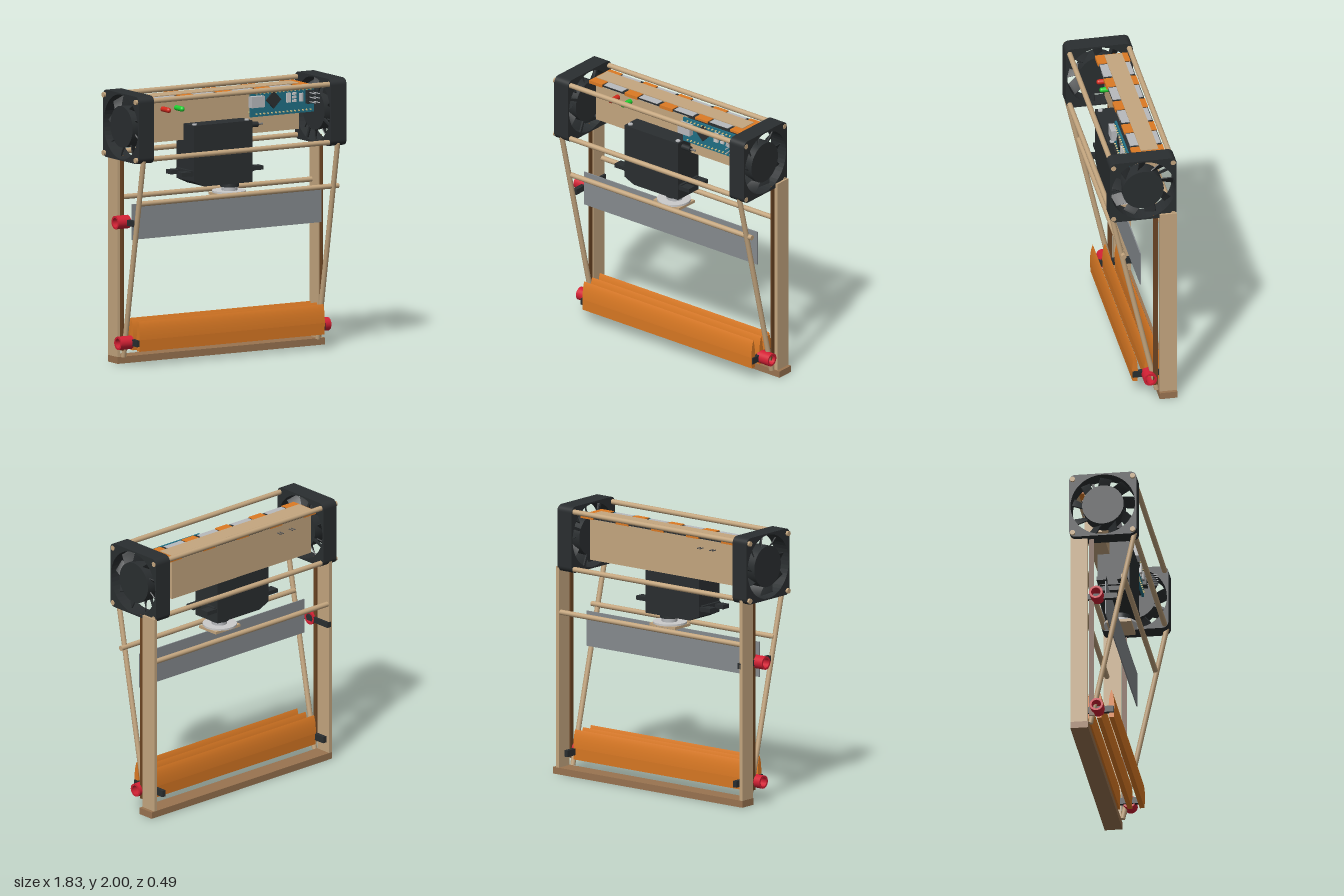
import * as THREE from 'three';

const mats = {};
const mat = (c) => (mats[c] ??= new THREE.MeshStandardMaterial({ color: c, side: THREE.DoubleSide }));
const WOOD = 0xc4a67f, BROWN = 0x997350, DARKWOOD = 0x6b4423, BLACK = 0x2a2e30, ORANGE = 0xdc7a24,
  RED = 0xd32034, STEEL = 0x868b8f, SILVER = 0xb8babd, TEAL = 0x1f6f85;

export function createModel() {
  const root = new THREE.Group();

  const add = (name, geo, color, parent = root) => {
    const m = new THREE.Mesh(geo, mat(color));
    m.name = name;
    parent.add(m);
    return m;
  };
  // Box given by its min and max on each axis
  const box = (name, color, x0, x1, y0, y1, z0, z1) => {
    const m = add(name, new THREE.BoxGeometry(x1 - x0, y1 - y0, z1 - z0), color);
    m.position.set((x0 + x1) / 2, (y0 + y1) / 2, (z0 + z1) / 2);
    return m;
  };
  // Round rod between two points
  const rod = (name, color, a, b, r, seg = 20) => {
    const p = new THREE.Vector3(...a), q = new THREE.Vector3(...b), d = q.clone().sub(p);
    const m = add(name, new THREE.CylinderGeometry(r, r, d.length(), seg), color);
    m.position.copy(p).add(q).multiplyScalar(0.5);
    m.quaternion.setFromUnitVectors(new THREE.Vector3(0, 1, 0), d.normalize());
    return m;
  };
  const extrude = (shape, depth, seg = 16) =>
    new THREE.ExtrudeGeometry(shape, { depth, bevelEnabled: false, curveSegments: seg });

  // Wooden frame
  box('base', BROWN, -0.855, 0.91, 0, 0.05, -0.245, -0.115);
  box('rightPost', WOOD, -0.855, -0.828, 0.05, 1.54, -0.245, -0.12);
  box('leftPost', WOOD, 0.858, 0.885, 0.05, 1.54, -0.245, -0.12);
  box('rightGuideStrip', DARKWOOD, -0.838, -0.828, 0.1, 1.53, -0.11, -0.075);
  box('leftGuideStrip', DARKWOOD, 0.858, 0.868, 0.1, 1.53, -0.11, -0.075);
  for (const z of [-0.222, 0.217])
    for (const y of [1.535, 1.96]) rod('frameRod', WOOD, [-0.915, y, z], [0.872, y, z], 0.019);
  for (const z of [-0.222, 0.14]) rod('crossRod', WOOD, [-0.84, 1.2, z], [0.862, 1.2, z], 0.019);
  rod('rightDiagonalRod', WOOD, [-0.845, 1.53, 0.222], [-0.812, 0.05, -0.105], 0.019);
  rod('leftDiagonalRod', WOOD, [0.808, 1.53, 0.222], [0.842, 0.05, -0.105], 0.019);

  // Fans at both ends
  const fan = (name, x, depth) => {
    const g = new THREE.Group();
    g.name = name;
    const h = 0.246, r = 0.045, s = new THREE.Shape();
    s.absarc(h - r, h - r, r, 0, Math.PI / 2);
    s.absarc(r - h, h - r, r, Math.PI / 2, Math.PI);
    s.absarc(r - h, r - h, r, Math.PI, Math.PI * 1.5);
    s.absarc(h - r, r - h, r, Math.PI * 1.5, Math.PI * 2);
    const hole = new THREE.Path();
    hole.absarc(0, 0, 0.236, 0, Math.PI * 2, true);
    s.holes.push(hole);
    add('fanFrame', extrude(s, depth, 24).translate(0, 0, -depth / 2), BLACK, g);
    add('fanHub', new THREE.CylinderGeometry(0.152, 0.152, depth * 0.92, 40).rotateX(Math.PI / 2), BLACK, g);
    // Twisted blades
    for (let i = 0; i < 9; i++) {
      const geo = new THREE.BoxGeometry(0.09, 0.1, 0.008, 1, 6, 1);
      const p = geo.attributes.position, v = new THREE.Vector3();
      for (let k = 0; k < p.count; k++) {
        v.fromBufferAttribute(p, k);
        v.applyAxisAngle(new THREE.Vector3(0, 1, 0), 0.75 - 3 * v.y);
        p.setXYZ(k, v.x + v.y * 0.3, v.y + 0.18, v.z);
      }
      geo.computeVertexNormals();
      geo.rotateZ((i / 9) * Math.PI * 2);
      add('fanBlade', geo, BLACK, g);
    }
    // Thin struts holding the hub
    for (let i = 0; i < 4; i++) {
      const geo = new THREE.BoxGeometry(0.018, 0.1, 0.012).translate(0, 0.19, -depth * 0.42);
      add('fanStrut', geo.rotateZ(0.4 + (i * Math.PI) / 2), BLACK, g);
    }
    g.rotation.y = x > 0 ? Math.PI / 2 : -Math.PI / 2;
    g.position.set(x, 1.752, -0.002);
    root.add(g);
  };
  fan('rightFan', -0.833, 0.13);
  fan('leftFan', 0.802, 0.134);

  // Upper wooden block with the strip of pads around its top
  box('upperBlock', WOOD, -0.73, 0.635, 1.61, 1.948, -0.16, -0.03);
  box('padStrip', BLACK, -0.74, 0.685, 1.925, 1.938, -0.2, 0.03);
  for (let i = 0; i < 5; i++) {
    const x = -0.74 + i * 0.328;
    box('orangePad', ORANGE, x, x + 0.118, 1.92, 1.944, -0.202, 0.038);
    if (i < 4) box('greyPad', SILVER, x + 0.13, x + 0.3, 1.923, 1.942, -0.195, 0.03);
  }

  // Indicator lights with leads through the block
  for (const [x, c] of [[-0.525, 0xd42a1c], [-0.41, 0x1fd030]]) {
    rod('lightBody', c, [x, 1.85, -0.03], [x, 1.85, 0.05], 0.019);
    const dome = add('lightDome', new THREE.SphereGeometry(0.019, 20, 14), c);
    dome.position.set(x, 1.85, 0.05);
    for (const dx of [-0.012, 0.012])
      rod('lightLead', 0x555555, [x + dx, 1.85, -0.2], [x + dx, 1.85, -0.03], 0.004, 8);
  }

  // Controller board
  box('circuitBoard', TEAL, 0.162, 0.7, 1.745, 1.93, 0.055, 0.07);
  box('usbPort', SILVER, 0.145, 0.255, 1.818, 1.9, 0.07, 0.113);
  const chip = box('chip', BLACK, 0.307, 0.397, 1.815, 1.905, 0.07, 0.082);
  chip.rotation.z = Math.PI / 4;
  box('resetButton', 0xdddddd, 0.46, 0.495, 1.83, 1.9, 0.07, 0.088);
  for (let i = 0; i < 3; i++) {
    box('component', 0xe4e4e4, 0.515, 0.545, 1.83 + i * 0.026, 1.848 + i * 0.026, 0.07, 0.08);
    for (const x of [0.645, 0.68]) {
      const y = 1.825 + i * 0.033;
      box('pinHeader', BLACK, x - 0.016, x + 0.016, y - 0.015, y + 0.015, 0.07, 0.1);
      rod('headerPin', SILVER, [x, y, 0.07], [x, y, 0.18], 0.004, 6);
    }
  }
  rod('crystal', SILVER, [0.588, 1.83, 0.075], [0.588, 1.89, 0.075], 0.018, 16);
  for (const y of [1.765, 1.915]) {
    box('pinStrip', BLACK, 0.19, 0.685, y - 0.013, y + 0.013, 0.03, 0.055);
    for (let i = 0; i < 15; i++) {
      const x = 0.208 + i * 0.0328;
      rod('boardPin', 0xd8c98a, [x, y, -0.03], [x, y, 0.082], 0.006, 6);
    }
  }

  // Servo
  const body = new THREE.Shape([[-0.35, 1.73], [-0.35, 1.32], [-0.26, 1.28], [0.15, 1.28], [0.15, 1.73]]
    .map((p) => new THREE.Vector2(...p)));
  add('servoBody', extrude(body, 0.235).translate(0, 0, -0.12), BLACK);
  for (const s of [-1, 1]) {
    const x = -0.1 + s * 0.297;
    for (const z of [-0.078, 0.073])
      box('servoTab', BLACK, x - 0.048, x + 0.048, 1.362, 1.392, z - 0.035, z + 0.035);
    box('servoTabBrace', BLACK, x - s * 0.047 - 0.02, x - s * 0.047 + 0.02, 1.355, 1.4, -0.1, 0.1);
    for (const z of [-0.085, 0.08])
      rod('servoScrew', SILVER, [-0.1 + s * 0.222, 1.72, z], [-0.1 + s * 0.222, 1.738, z], 0.018, 16);
  }
  rod('cableSleeve', BLACK, [0.14, 1.69, 0.06], [0.225, 1.69, 0.06], 0.02);
  rod('cable', 0x777777, [0.22, 1.69, 0.06], [0.27, 1.69, 0.06], 0.007, 8);
  rod('servoBoss', BLACK, [0.025, 1.245, 0], [0.025, 1.285, 0], 0.07, 32);
  rod('servoShaft', SILVER, [0.025, 1.19, 0], [0.025, 1.25, 0], 0.057, 32);
  rod('servoHorn', 0xdcdcdc, [0.02, 1.203, 0], [0.02, 1.217, 0], 0.124, 40);
  box('hornPlate', WOOD, -0.1, 0.14, 1.182, 1.202, -0.09, 0.09);

  // Hanging blade
  box('blade', STEEL, -0.81, 0.802, 0.92, 1.18, 0.002, 0.01);

  // Pointed fins at the bottom
  const fin = new THREE.Shape();
  fin.moveTo(-0.017, 0.105);
  fin.lineTo(0.017, 0.105);
  fin.lineTo(0.021, 0.19);
  fin.quadraticCurveTo(0.019, 0.28, 0, 0.325);
  fin.quadraticCurveTo(-0.019, 0.28, -0.021, 0.19);
  for (const z of [0.045, -0.045, -0.135])
    add('fin', extrude(fin, 1.575).rotateY(Math.PI / 2).translate(-0.78, 0, z), ORANGE);

  // Red hollow sleeves with their black cross bars
  const sleeve = (x0, x1, y) => {
    const pts = [[0.034, 0], [0.049, 0], [0.049, x1 - x0], [0.034, x1 - x0], [0.034, 0]];
    // One lathe per face of the ring keeps its edges sharp
    for (let i = 0; i < 4; i++) {
      const geo = new THREE.LatheGeometry([pts[i], pts[i + 1]].map((p) => new THREE.Vector2(...p)), 32);
      add('sleeve', geo.rotateZ(-Math.PI / 2).translate(x0, y, -0.05), RED);
    }
  };
  sleeve(-0.918, -0.81, 1.047);
  sleeve(-0.895, -0.785, 0.162);
  sleeve(0.785, 0.893, 0.162);
  box('bladeBar', BLACK, -0.845, -0.812, 1.025, 1.067, -0.245, 0.095);
  for (const x of [-0.785, 0.79]) box('finBar', BLACK, x - 0.015, x + 0.015, 0.14, 0.188, -0.245, 0.062);

  return root;
}
